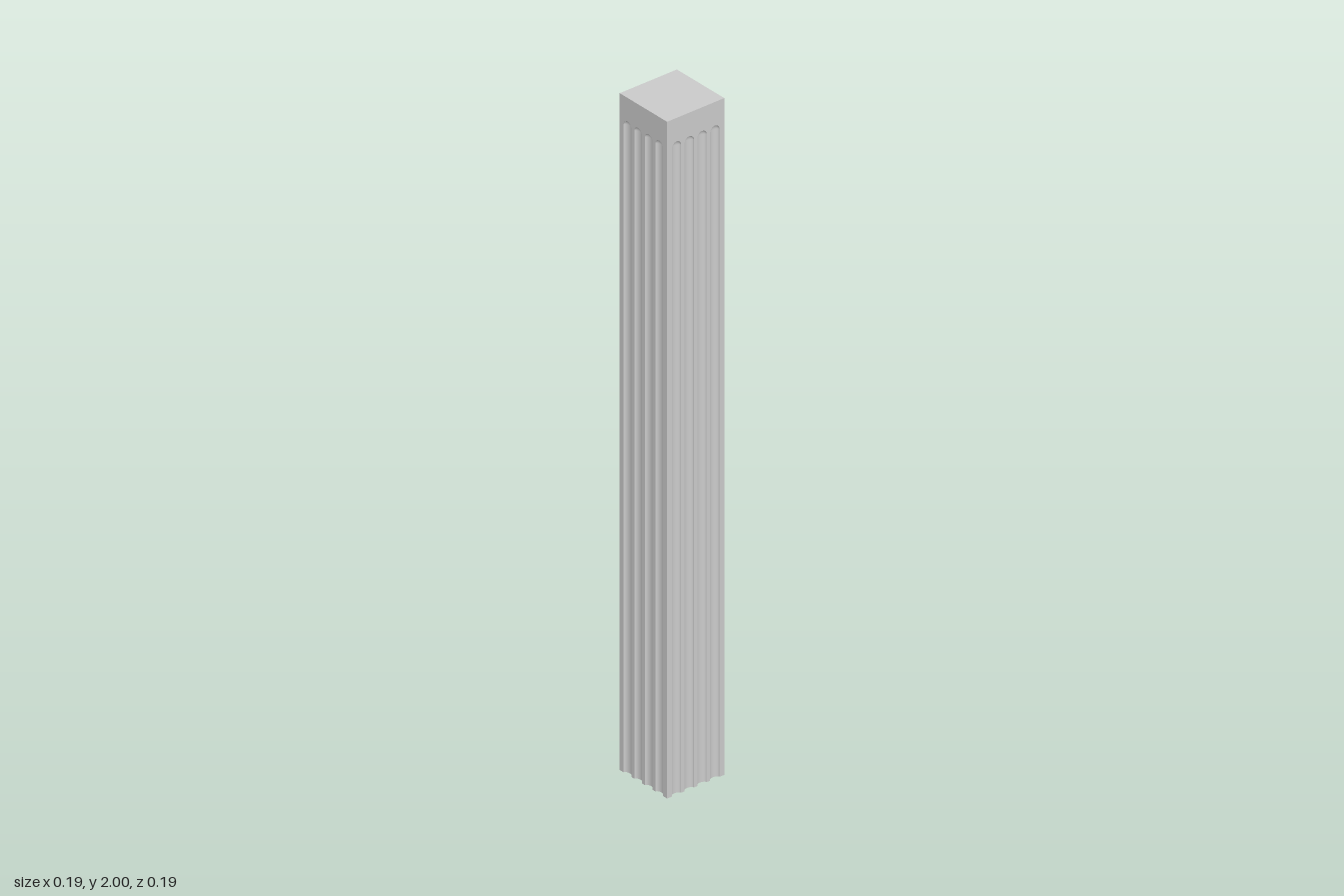
import * as THREE from 'three';

const H = 2, W = 0.095;            // height, half width
const R = 0.0155, DEPTH = 0.009;   // flute half width and depth
const TOP = 1.93 - R;              // where the rounded flute end begins
const CENTRES = [-0.0635, -0.0212, 0.0212, 0.0635];
const SEG = 12;

// One face of the shaft, with round-headed slots open at the foot
function faceGeometry() {
  const s = new THREE.Shape();
  s.moveTo(-W, H);
  s.lineTo(-W, 0);
  for (const c of CENTRES) {
    s.lineTo(c - R, 0);
    s.lineTo(c - R, TOP);
    s.absarc(c, TOP, R, Math.PI, 0, true);
    s.lineTo(c + R, 0);
  }
  s.lineTo(W, 0);
  s.lineTo(W, H);
  s.closePath();
  return new THREE.ShapeGeometry(s, SEG);
}

// Underside, notched where the flutes run out
function footGeometry() {
  const pts = [];
  for (let side = 0; side < 4; side++) {
    const a = side * Math.PI / 2;
    const add = (x, y) => pts.push(new THREE.Vector2(x, y).rotateAround(new THREE.Vector2(), a));
    add(-W, -W);
    for (const c of CENTRES) {
      for (let i = 0; i <= SEG; i++) {
        const t = Math.PI * (1 - i / SEG);
        add(c + R * Math.cos(t), -W + DEPTH * Math.sin(t));
      }
    }
  }
  return new THREE.ShapeGeometry(new THREE.Shape(pts)).rotateX(Math.PI / 2);
}

export function createModel() {
  const group = new THREE.Group();
  group.name = 'flutedPillar';
  const grey = new THREE.MeshStandardMaterial({ color: 0xcccccc });
  const hollow = new THREE.MeshStandardMaterial({ color: 0xcccccc, side: THREE.BackSide });

  const add = (parent, name, geo, mat = grey) => {
    const m = new THREE.Mesh(geo, mat);
    m.name = name;
    parent.add(m);
    return m;
  };

  // Concave flute channel and its rounded head, seen from inside
  const channel = new THREE.CylinderGeometry(R, R, TOP, SEG, 1, true, Math.PI / 2, Math.PI)
    .scale(1, 1, DEPTH / R).translate(0, TOP / 2, 0);
  const head = new THREE.SphereGeometry(R, SEG, 6, Math.PI, Math.PI, 0, Math.PI / 2)
    .scale(1, 1, DEPTH / R).translate(0, TOP, 0);
  const face = faceGeometry();

  // Four identical sides
  for (let i = 0; i < 4; i++) {
    const side = new THREE.Group();
    side.name = 'side' + (i + 1);
    side.rotation.y = i * Math.PI / 2;
    add(side, 'face', face).position.z = W;
    for (const c of CENTRES) {
      add(side, 'flute', channel, hollow).position.set(c, 0, W);
      add(side, 'fluteHead', head, hollow).position.set(c, 0, W);
    }
    group.add(side);
  }

  // End faces
  add(group, 'topFace', new THREE.PlaneGeometry(2 * W, 2 * W).rotateX(-Math.PI / 2)).position.y = H;
  add(group, 'footFace', footGeometry());
  return group;
}
